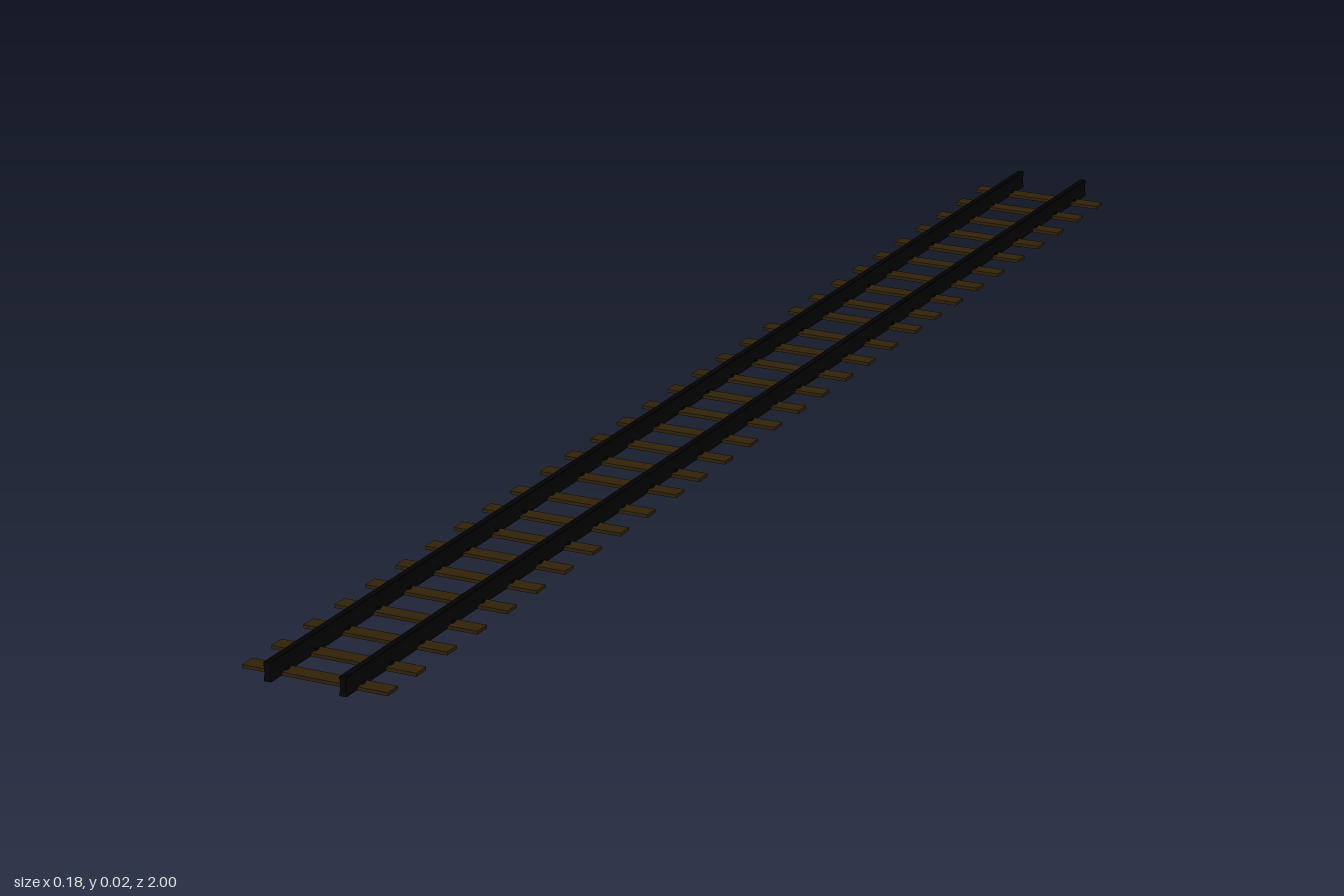
import * as THREE from 'three';

const SECTION = 2 / 3;      // three identical track sections end to end
const SLEEPERS = 10;        // sleepers in each section
const SLEEPER_TOP = 0.004;
const RAILS = [['rightRail', -0.044], ['leftRail', 0.048]];

// Half outline of the rail: foot, web and head
const HALF_RAIL = [
  [0.0042, 0.0005], [0.0042, 0.0055], [0.0036, 0.007], [0.0036, 0.0165],
  [0.0042, 0.0175], [0.0042, 0.0222], [0.0036, 0.023],
];

function railGeometry() {
  const outline = [
    ...HALF_RAIL.map(([x, y]) => new THREE.Vector2(x, y)),
    ...HALF_RAIL.slice().reverse().map(([x, y]) => new THREE.Vector2(-x, y)),
  ];
  const geometry = new THREE.ExtrudeGeometry(new THREE.Shape(outline), {
    depth: SECTION, bevelEnabled: false,
  });
  return geometry.translate(0, 0, -SECTION / 2);
}

export function createModel() {
  const steel = new THREE.MeshStandardMaterial({ color: 0x020204 });
  steel.name = 'dark steel';
  const wood = new THREE.MeshStandardMaterial({ color: 0x2f2108 });
  wood.name = 'dark wood';

  const rail = railGeometry();
  const sleeper = new THREE.BoxGeometry(0.178, SLEEPER_TOP, 0.021);
  const clip = new THREE.BoxGeometry(0.0125, 0.0025, 0.006);
  const track = new THREE.Group();
  track.name = 'railwayTrack';

  for (let s = -1; s <= 1; s++) {
    const section = new THREE.Group();
    section.name = 'trackSection';
    section.position.z = s * SECTION;

    const add = (name, geometry, material, x, y, z) => {
      const mesh = new THREE.Mesh(geometry, material);
      mesh.name = name;
      mesh.position.set(x, y, z);
      section.add(mesh);
    };

    // Pair of rails
    for (const [name, x] of RAILS) add(name, rail, steel, x, 0, 0);

    // Sleepers with rail clips, the last one slightly closer to its neighbour
    for (let i = 0; i < SLEEPERS; i++) {
      const z = -0.2935 + i * 0.0667 - (i === SLEEPERS - 1 ? 0.0065 : 0);
      add('sleeper', sleeper, wood, 0, SLEEPER_TOP / 2, z);
      for (const [, x] of RAILS) add('railClip', clip, steel, x, SLEEPER_TOP + 0.00125, z);
    }
    track.add(section);
  }
  return track;
}
